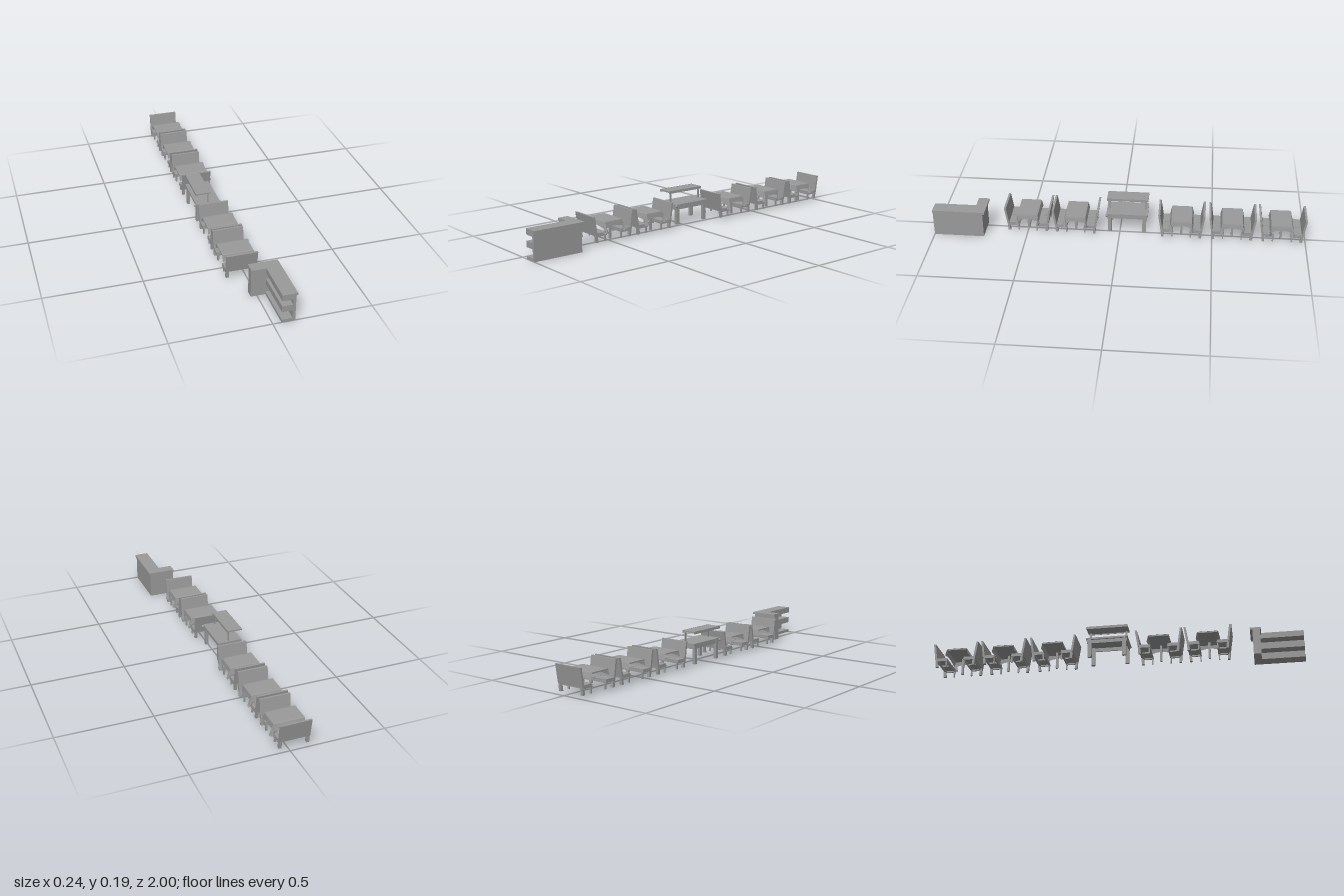
import * as THREE from 'three';

const material = new THREE.MeshStandardMaterial({ color: 0x9a9a9a, flatShading: true, side: THREE.DoubleSide });

function add(group, name, geometry) {
  const mesh = new THREE.Mesh(geometry, material);
  mesh.name = name;
  group.add(mesh);
  return mesh;
}

// Box given by its minimum and maximum on each axis
function box(group, name, x0, x1, y0, y1, z0, z1) {
  const mesh = add(group, name, new THREE.BoxGeometry(x1 - x0, y1 - y0, z1 - z0));
  mesh.position.set((x0 + x1) / 2, (y0 + y1) / 2, (z0 + z1) / 2);
  return mesh;
}

// Prism with a (z, y) outline, running along x
function prism(group, name, x0, x1, outline) {
  const shape = new THREE.Shape(outline.map(([z, y]) => new THREE.Vector2(-z, y)));
  const geometry = new THREE.ExtrudeGeometry(shape, { depth: x1 - x0, bevelEnabled: false });
  geometry.rotateY(Math.PI / 2);
  geometry.translate(x0, 0, 0);
  return add(group, name, geometry);
}

// Bench whose backrest leans towards +z
function bench() {
  const g = new THREE.Group();
  g.name = 'bench';
  prism(g, 'backrest', -0.108, 0.053, [[0.1, 0.05], [0.111, 0.05], [0.126, 0.147], [0.115, 0.147]]);
  box(g, 'leftCushion', -0.107, -0.029, 0.051, 0.061, 0.047, 0.103);
  box(g, 'rightCushion', -0.026, 0.052, 0.051, 0.061, 0.047, 0.103);
  // Open frame below the cushions
  for (const z of [0.045, 0.096]) box(g, 'longRail', -0.108, 0.053, 0.043, 0.052, z, z + 0.008);
  for (const x of [-0.108, -0.0315, 0.045]) box(g, 'crossRail', x, x + 0.008, 0.043, 0.052, 0.045, 0.104);
  for (const x of [-0.106, 0.036]) {
    prism(g, 'backLeg', x, x + 0.015, [[0.094, 0.012], [0.108, 0.012], [0.111, 0.052], [0.099, 0.052]]);
    box(g, 'frontLeg', x + 0.003, x + 0.012, 0.012, 0.045, 0.046, 0.053);
  }
  return g;
}

// Cloth: a flat top draped over the aisle side and both ends, hem arched between the corners
function tablecloth() {
  const n = 20, w = 0.162, half = 0.055, drop = 0.04;
  const geometry = new THREE.PlaneGeometry(1, 1, n, n);
  const p = geometry.attributes.position;
  for (let i = 0; i < p.count; i++) {
    const u = (p.getX(i) + 0.5) * (w + drop) - 0.108;
    const v = -p.getY(i) * 2 * (half + drop);
    const overX = Math.max(0, u - 0.054);
    const overZ = Math.max(0, Math.abs(v) - half);
    const corner = Math.min(overX, overZ);
    const along = overX > overZ ? v / half : (u + 0.027) / 0.081;
    const arch = 0.7 + 0.3 * Math.min(1, along * along);
    const fall = Math.max(overX, overZ) * 0.9 * arch + corner * 0.6;
    const x = Math.min(u, 0.054) + overX * 0.08 + corner * 0.4;
    const z = Math.sign(v) * (Math.min(Math.abs(v), half) + overZ * 0.2 + corner * 0.15);
    p.setXYZ(i, x, 0.113 - fall, z);
  }
  geometry.computeVertexNormals();
  return geometry;
}

// Side is the end of the table (1 or -1) with the fuller cloth fold
function booth(z, side) {
  const g = new THREE.Group();
  g.name = 'diningBooth';
  const front = bench();
  const back = bench();
  // The second bench faces the first
  back.rotation.y = Math.PI;
  back.position.x = -0.055;
  g.add(front, back);
  const table = new THREE.Group();
  table.name = 'diningTable';
  box(table, 'tableTop', -0.108, 0.053, 0.105, 0.112, -0.053, 0.053);
  box(table, 'tableLeg', 0.012, 0.022, 0.012, 0.106, -0.006, 0.006);
  add(table, 'tablecloth', tablecloth());
  for (const [end, depth] of [[side, 1], [-side, 0.35]]) {
    const fold = add(table, 'cornerFold', new THREE.ConeGeometry(0.014, 0.055, 10, 1, true));
    fold.scale.z = depth;
    fold.position.set(0.06, 0.083, end * 0.056);
  }
  table.position.z = side < 0 ? 0.006 : 0;
  g.add(table);
  g.position.z = z;
  return g;
}

// Serving table with a raised shelf
function servingTable() {
  const g = new THREE.Group();
  g.name = 'servingTable';
  box(g, 'top', -0.108, 0.024, 0.113, 0.123, -0.152, 0.072);
  for (const z of [-0.147, 0.06]) box(g, 'endApron', -0.104, 0.02, 0.093, 0.114, z, z + 0.008);
  for (const side of [-1, 1]) {
    const edge = -0.042 + side * 0.063;
    const inner = edge - side * 0.016;
    const x0 = Math.min(edge, inner), x1 = Math.max(edge, inner);
    box(g, 'sideApron', x0 + 0.005, x1 - 0.005, 0.093, 0.114, -0.147, 0.068);
    for (const z of [-0.143, 0.043]) box(g, 'leg', x0, x1, 0.012, 0.114, z, z + 0.02);
    // Rounded ends of the front edge
    const knob = add(g, 'roundedEnd', new THREE.SphereGeometry(0.008, 10, 6));
    knob.position.set(-0.042 + side * 0.069, 0.115, 0.068);
  }
  box(g, 'shelf', -0.108, -0.03, 0.179, 0.187, -0.152, 0.072);
  for (const x of [-0.109, -0.031]) box(g, 'shelfLip', x, x + 0.002, 0.174, 0.188, -0.152, 0.072);
  for (const z of [-0.144, 0.052]) box(g, 'shelfPost', -0.041, -0.037, 0.12, 0.18, z, z + 0.011);
  return g;
}

// L-shaped bar counter, open on the inner side and at its end
function barCounter() {
  const g = new THREE.Group();
  g.name = 'barCounter';
  box(g, 'shortWing', -0.032, 0.111, 0, 0.142, 0.73, 0.77);
  box(g, 'outerWall', 0.097, 0.111, 0, 0.142, 0.77, 1);
  for (const [y0, y1] of [[0, 0.015], [0.06, 0.092], [0.122, 0.142]]) box(g, 'shelfBoard', 0.043, 0.097, y0, y1, 0.77, 1);
  const outline = [[-0.032, 0.717], [0.119, 0.717], [0.119, 1], [0.043, 1], [0.043, 0.775], [-0.032, 0.775]];
  const top = new THREE.ExtrudeGeometry(
    new THREE.Shape(outline.map(([x, z]) => new THREE.Vector2(x, -z))), { depth: 0.012, bevelEnabled: false });
  top.rotateX(-Math.PI / 2);
  top.translate(0, 0.142, 0);
  add(g, 'counterTop', top);
  return g;
}

export function createModel() {
  const model = new THREE.Group();
  model.name = 'diningCarFurniture';
  for (const [z, side] of [[-0.874, -1], [-0.607, 1], [-0.335, 1], [0.237, 1], [0.497, 1]]) model.add(booth(z, side));
  model.add(servingTable(), barCounter());
  return model;
}
